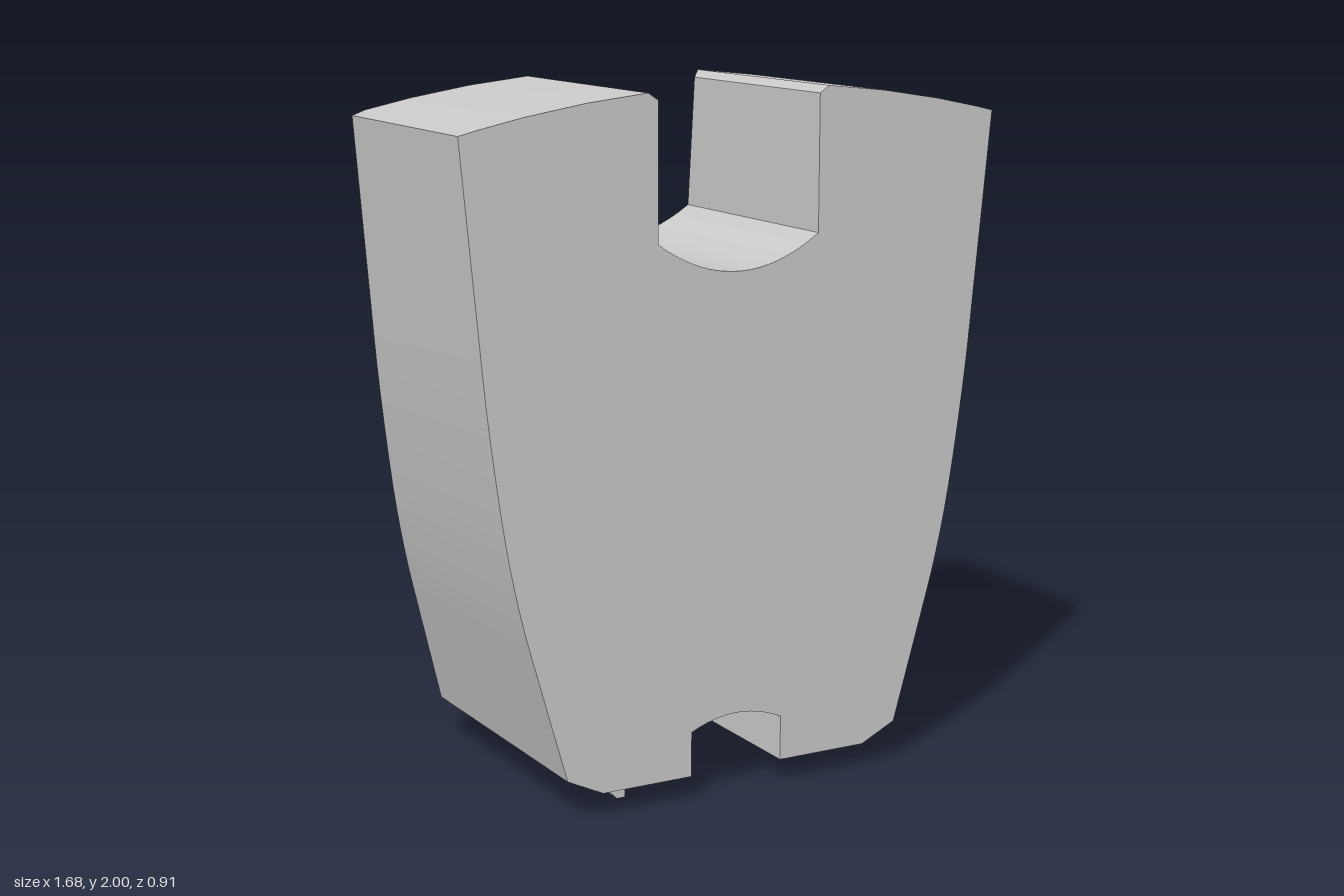
import * as THREE from 'three';
import { toCreasedNormals } from 'three/addons/utils/BufferGeometryUtils.js';

const FRONT = 0.455, BASE = 0.067;
const V2 = (x, y) => new THREE.Vector2(x, y);

// sloping back, with a bevel plane outside a leaning line on each side
const bevelX = (y) => 0.43 + (y - BASE) * 0.1946;
const backZ = (x, y) => -0.455 + (y - BASE) * 0.0925 + 0.52 * Math.max(0, Math.abs(x) - bevelX(y));

// right half of the outline, from the foot notch round to the top slot
function halfOutline() {
  const pts = [];
  for (let i = 0; i <= 6; i++) {
    const t = i / 6;
    pts.push(V2(0.147 * t, 0.233 - 0.035 * t * t));
  }
  pts.push(V2(0.147, BASE), V2(0.43, BASE));
  const side = new THREE.SplineCurve([V2(0.54, 0.12), V2(0.62, 0.4), V2(0.675, 0.6), V2(0.72, 0.82),
    V2(0.765, 1.14), V2(0.795, 1.44), V2(0.84, 1.91)]);
  pts.push(...side.getPoints(20));
  pts.push(V2(0.79, 1.922), V2(0.65, 1.951), V2(0.47, 1.98), V2(0.285, 2), V2(0.255, 1.98));
  for (let i = 8; i >= 0; i--) {
    const t = i / 8;
    pts.push(V2(0.255 * t, 1.503 + 0.09 * t * t));
  }
  return pts;
}

// triangle collector
function builder() {
  const pos = [];
  const tri = (...c) => c.forEach((v) => pos.push(v.x, v.y, v.z));
  return {
    // wall between a near and a far closed ring
    wall(near, far, skip = () => false) {
      near.forEach((p, i) => {
        const j = (i + 1) % near.length;
        if (skip(p, near[j])) return;
        tri(p, far[i], far[j]);
        tri(p, far[j], near[j]);
      });
    },
    // filled polygon from a counter-clockwise ring
    cap(ring, flip) {
      for (const [a, b, c] of THREE.ShapeUtils.triangulateShape(ring.map((p) => V2(p.x, p.y)), [])) {
        if (flip) tri(ring[a], ring[c], ring[b]);
        else tri(ring[a], ring[b], ring[c]);
      }
    },
    geometry() {
      const g = new THREE.BufferGeometry();
      g.setAttribute('position', new THREE.Float32BufferAttribute(pos, 3));
      return toCreasedNormals(g, 0.35);
    },
  };
}

function bodyGeometry() {
  const half = halfOutline();
  const mirrored = half.slice(1, -1).reverse().map((p) => V2(-p.x, p.y));
  const outline = [...half, ...mirrored];
  const inSlot = (p) => Math.abs(p.x) < 0.26 && p.y > 1;

  const front = outline.map((p) => new THREE.Vector3(p.x, p.y, FRONT));
  // the rear edge of the slot flares into a small bevel
  const back = outline.map((p) => {
    const x = inSlot(p) ? p.x * 1.1 : p.x;
    const y = inSlot(p) && p.y < 1.7 ? p.y - 0.022 : p.y;
    return new THREE.Vector3(x, y, backZ(x, y));
  });
  const middle = outline.map((p, i) =>
    inSlot(p) ? new THREE.Vector3(p.x, p.y, back[i].z + 0.034) : back[i].clone());

  const b = builder();
  b.wall(front, middle, (p, q) => p.y === BASE && q.y === BASE);
  b.wall(middle, back, (p, q) => !inSlot(p) && !inSlot(q));
  b.cap(front, false);

  // back face and its two bevels
  const n = back.length;
  const a = half.findIndex((p) => p.x === 0.43 && p.y === BASE);
  const t = half.findIndex((p) => p.x === 0.79 && p.y === 1.922);
  b.cap(back.filter((p, i) => !(i > a && i < t) && !(i > n - t && i < n - a)), true);
  b.cap(back.slice(a, t + 1), true);
  b.cap(back.slice(n - t, n - a + 1), true);
  return b.geometry();
}

const rect = (x0, z0, x1, z1) => [V2(x0, z0), V2(x1, z0), V2(x1, z1), V2(x0, z1)];

// solid plate drawn in x/z, reaching from y = top down to y = bottom
function plate(points, top, bottom, hole) {
  const shape = new THREE.Shape(points);
  if (hole) shape.holes.push(new THREE.Path(hole));
  const g = new THREE.ExtrudeGeometry(shape, { depth: top - bottom, bevelEnabled: false });
  return g.rotateX(Math.PI / 2).translate(0, top, 0);
}

export function createModel() {
  const model = new THREE.Group();
  const grey = new THREE.MeshStandardMaterial({ color: 0xc8c8c8 });
  grey.name = 'lightGrey';
  const add = (parent, name, geometry) => {
    const mesh = new THREE.Mesh(geometry, grey);
    mesh.name = name;
    parent.add(mesh);
  };

  add(model, 'body', bodyGeometry());

  // underside of each foot: a shallow pocket holding small raised fittings
  const CEILING = 0.092, LOW = 0.072;
  for (const [name, cx] of [['leftFoot', 0.2885], ['rightFoot', -0.2885]]) {
    const foot = new THREE.Group();
    foot.name = name;
    foot.position.x = cx;
    model.add(foot);

    const pocket = rect(-0.12, -0.42, 0.12, 0.42);
    const sole = new THREE.Shape(rect(-0.1415, -0.455, 0.1415, FRONT));
    sole.holes.push(new THREE.Path(pocket));
    add(foot, 'sole', new THREE.ShapeGeometry(sole).rotateX(Math.PI / 2).translate(0, BASE, 0));

    const b = builder();
    const ring = (y) => pocket.map((p) => new THREE.Vector3(p.x, y, p.y)).reverse();
    b.wall(ring(BASE), ring(CEILING));
    add(foot, 'pocketWalls', b.geometry());
    add(foot, 'pocketCeiling',
      new THREE.PlaneGeometry(0.24, 0.84).rotateX(Math.PI / 2).translate(0, CEILING, 0));

    add(foot, 'longFrame', plate(rect(-0.095, -0.15, 0.085, 0.38), CEILING, LOW,
      rect(-0.08, -0.135, 0.07, 0.365)));
    add(foot, 'smallBlock', plate(rect(0.06, -0.22, 0.095, -0.185), CEILING, LOW));
    add(foot, 'gridPlate', plate(rect(-0.075, -0.39, 0.065, -0.26), CEILING, 0.082));
    for (let i = 0; i < 3; i++) {
      for (let j = 0; j < 3; j++) {
        const x = -0.005 + (i - 1) * 0.04, z = -0.325 + (j - 1) * 0.04;
        add(foot, 'gridButton', plate(rect(x - 0.014, z - 0.014, x + 0.014, z + 0.014), 0.082, LOW));
      }
    }
  }

  // small pin under the right foot, with one lower corner cut off
  const pin = new THREE.Shape([V2(-0.36, 0.03), V2(-0.332, 0), V2(-0.305, 0), V2(-0.305, 0.093), V2(-0.36, 0.093)]);
  add(model, 'pin', new THREE.ExtrudeGeometry(pin, { depth: 0.045, bevelEnabled: false }).translate(0, 0, 0.305));

  return model;
}
